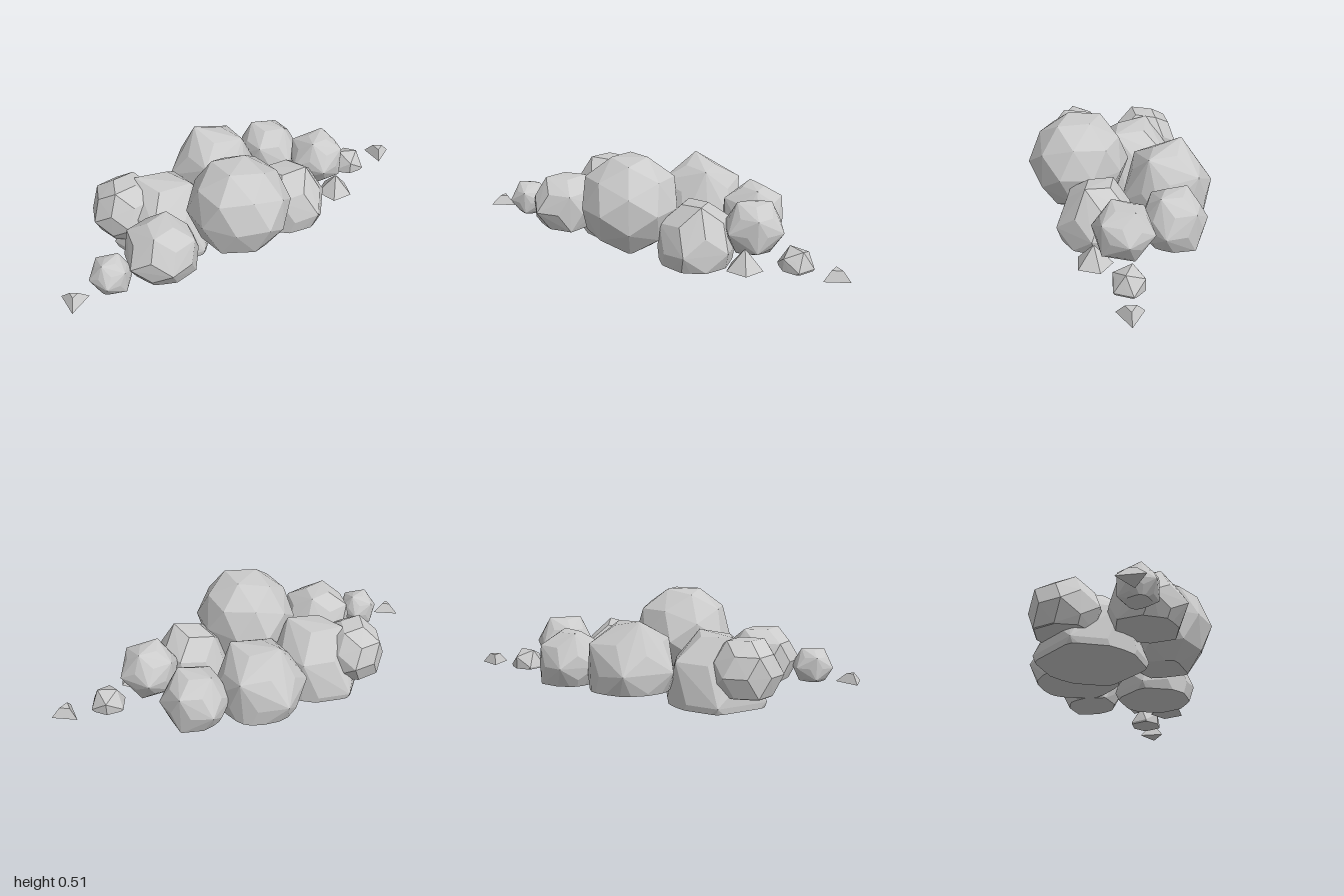
import * as THREE from 'three';
import { ConvexGeometry } from 'three/addons/geometries/ConvexGeometry.js';

// Faceted puff: an icosahedron whose face centres are pushed out to bulge,
// stretched to its radii, with its underside sliced flat at height floor
function puffGeometry({ x, y, z, r, ry, yaw, tilt = 0, bulge, floor }) {
  const ico = new THREE.IcosahedronGeometry(1, 0).attributes.position;
  const corners = [];
  for (let i = 0; i < ico.count; i++) corners.push(new THREE.Vector3().fromBufferAttribute(ico, i));
  const centres = [];
  for (let i = 0; i < corners.length; i += 3) {
    const centre = corners[i].clone().add(corners[i + 1]).add(corners[i + 2]);
    centres.push(centre.setLength(bulge));
  }

  const place = new THREE.Matrix4()
    .makeTranslation(x, y, z)
    .multiply(new THREE.Matrix4().makeScale(r, ry, r))
    .multiply(new THREE.Matrix4().makeRotationFromEuler(new THREE.Euler(0, yaw, tilt, 'YXZ')));
  const hull = new ConvexGeometry([...corners, ...centres]).applyMatrix4(place).attributes.position;

  const points = [];
  const add = (p) => {
    if (!points.some((q) => q.distanceTo(p) < 1e-4)) points.push(p);
  };
  for (let face = 0; face < hull.count; face += 3) {
    for (let k = 0; k < 3; k++) {
      const a = new THREE.Vector3().fromBufferAttribute(hull, face + k);
      const b = new THREE.Vector3().fromBufferAttribute(hull, face + ((k + 1) % 3));
      if (a.y >= floor) add(a);
      // Where an edge crosses the floor, add the crossing point
      if ((a.y - floor) * (b.y - floor) < 0) {
        const cut = a.clone().lerp(b, (floor - a.y) / (b.y - a.y));
        cut.y = floor;
        add(cut);
      }
    }
  }
  return new ConvexGeometry(points);
}

// Small pointed wisp: a low cone or frustum standing at height floor
function wispGeometry({ x, z, top, r, h, sides, yaw, floor }) {
  return new THREE.CylinderGeometry(top, r, h, sides).rotateY(yaw).translate(x, floor + h / 2, z);
}

export function createModel() {
  const cloud = new THREE.Group();
  cloud.name = 'cloud';
  const material = new THREE.MeshStandardMaterial({ color: 0xcccccc, flatShading: true });
  const addPart = (name, geometry) => {
    const mesh = new THREE.Mesh(geometry, material);
    mesh.name = name;
    cloud.add(mesh);
  };

  const puffs = [
    // Main body
    { name: 'largeFrontPuff', x: -0.092, y: 0.278, z: 0.218, r: 0.254, ry: 0.258, yaw: -0.96, tilt: 0.04, bulge: 0.96, floor: 0.07 },
    { name: 'lowCorePuff', x: -0.348, y: 0.03, z: -0.07, r: 0.267, ry: 0.36, yaw: -0.7, bulge: 0.88, floor: 0 },
    { name: 'backMiddlePuff', x: 0.03, y: 0.15, z: -0.22, r: 0.243, ry: 0.29, yaw: -0.8, tilt: -0.1, bulge: 0.85, floor: 0.075 },
    { name: 'frontLeftPuff', x: 0.243, y: 0.1, z: 0.145, r: 0.207, ry: 0.26, yaw: -0.73, tilt: 0.12, bulge: 0.9, floor: 0.04 },
    { name: 'frontRightPuff', x: -0.51, y: 0.175, z: 0.21, r: 0.193, ry: 0.18, yaw: -2.33, bulge: 0.9, floor: 0.08 },
    { name: 'backRightPuff', x: -0.515, y: 0.175, z: -0.155, r: 0.182, ry: 0.183, yaw: -2.48, bulge: 0.92, floor: 0.075 },
    { name: 'backLeftPuff', x: 0.355, y: 0.17, z: -0.21, r: 0.172, ry: 0.188, yaw: -0.87, bulge: 0.88, floor: 0.075 },
    { name: 'leftPuff', x: 0.497, y: 0.225, z: 0.038, r: 0.154, ry: 0.153, yaw: 0.66, bulge: 0.85, floor: 0.075 },
    // Smaller puffs trailing off at the sides
    { name: 'rightSmallPuff', x: -0.77, y: 0.15, z: 0.21, r: 0.106, ry: 0.106, yaw: 0.4, bulge: 0.84, floor: 0.08 },
    { name: 'leftSmallPuff', x: 0.72, y: 0.085, z: 0.03, r: 0.09, ry: 0.1, yaw: -0.4, bulge: 0.8, floor: 0.075 },
  ];
  for (const puff of puffs) addPart(puff.name, puffGeometry(puff));

  // Pointed wisps at the fringe
  const wisps = [
    { name: 'rightWisp', x: -0.962, z: 0.215, top: 0.022, r: 0.074, h: 0.045, sides: 3, yaw: Math.PI / 2, floor: 0.08 },
    { name: 'leftOuterWisp', x: 0.927, z: 0.04, top: 0.03, r: 0.073, h: 0.048, sides: 3, yaw: Math.PI / 2, floor: 0.08 },
    { name: 'leftFrontWisp', x: 0.53, z: 0.175, top: 0.006, r: 0.09, h: 0.095, sides: 5, yaw: 0.6, floor: 0.075 },
  ];
  for (const wisp of wisps) addPart(wisp.name, wispGeometry(wisp));

  return cloud;
}
